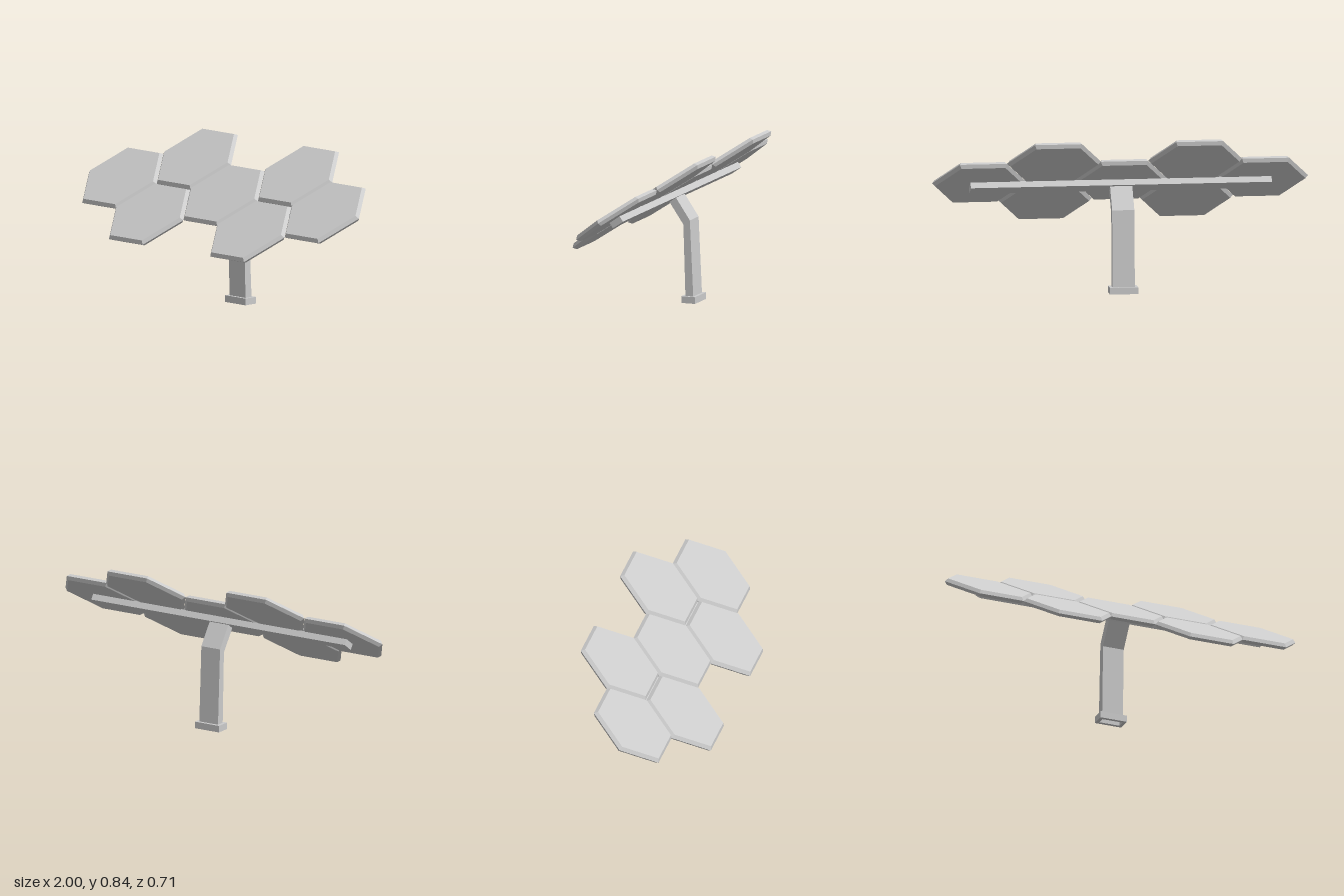
import * as THREE from 'three';

const TILT = THREE.MathUtils.degToRad(35);
const PIVOT_Y = 0.588;

export function createModel() {
  const model = new THREE.Group();
  const material = new THREE.MeshStandardMaterial({ color: 0xcccccc, flatShading: true });
  const add = (parent, name, geometry, x = 0, y = 0, z = 0) => {
    const mesh = new THREE.Mesh(geometry, material);
    mesh.name = name;
    mesh.position.set(x, y, z);
    parent.add(mesh);
    return mesh;
  };

  // Tilted array: seven hexagonal panels carried on a crossbar
  const array = new THREE.Group();
  array.name = 'panelArray';
  array.position.y = PIVOT_Y;
  array.rotation.x = TILT;
  model.add(array);

  // Hexagonal tile, widest at mid thickness with bevelled rims
  const R = 0.25, r = 0.234, h = 0.0175;
  const profile = [[0, -h], [r, -h], [R, 0], [r, h], [0, h]].map(p => new THREE.Vector2(...p));
  const hexagon = new THREE.LatheGeometry(profile, 6).rotateY(Math.PI / 2);
  const column = 0.375, row = 0.2185;
  for (const i of [-2, 0, 2]) add(array, 'hexPanel', hexagon, i * column);
  for (const sx of [-1, 1]) {
    for (const sz of [-1, 1]) add(array, 'hexPanel', hexagon, sx * column, 0, sz * row);
  }
  add(array, 'crossbar', new THREE.BoxGeometry(1.6, 0.036, 0.07), 0, -0.033, 0);

  // Extrudes an outline of [z, y] points symmetrically across x
  const extrudeAcross = (points, width) => {
    const shape = new THREE.Shape(points.map(([z, y]) => new THREE.Vector2(-z, y)));
    return new THREE.ExtrudeGeometry(shape, { depth: width, bevelEnabled: false })
      .translate(0, 0, -width / 2)
      .rotateY(Math.PI / 2);
  };

  // Bent post, its upper arm square to the crossbar
  add(model, 'post', extrudeAcross([
    [-0.102, 0.025], [-0.147, 0.025], [-0.127, 0.443],
    [-0.0414, 0.568], [-0.0045, 0.542], [-0.09, 0.418],
  ], 0.118));

  // Foot collar, open underneath
  const rectangle = (Type, w, d) => new Type([
    [-w, -d], [w, -d], [w, d], [-w, d],
  ].map(p => new THREE.Vector2(...p)));
  const collar = rectangle(THREE.Shape, 0.075, 0.039);
  collar.holes.push(rectangle(THREE.Path, 0.057, 0.021));
  const foot = new THREE.ExtrudeGeometry(collar, { depth: 0.036, bevelEnabled: false }).rotateX(-Math.PI / 2);
  add(model, 'foot', foot, 0, 0, -0.124);

  return model;
}
